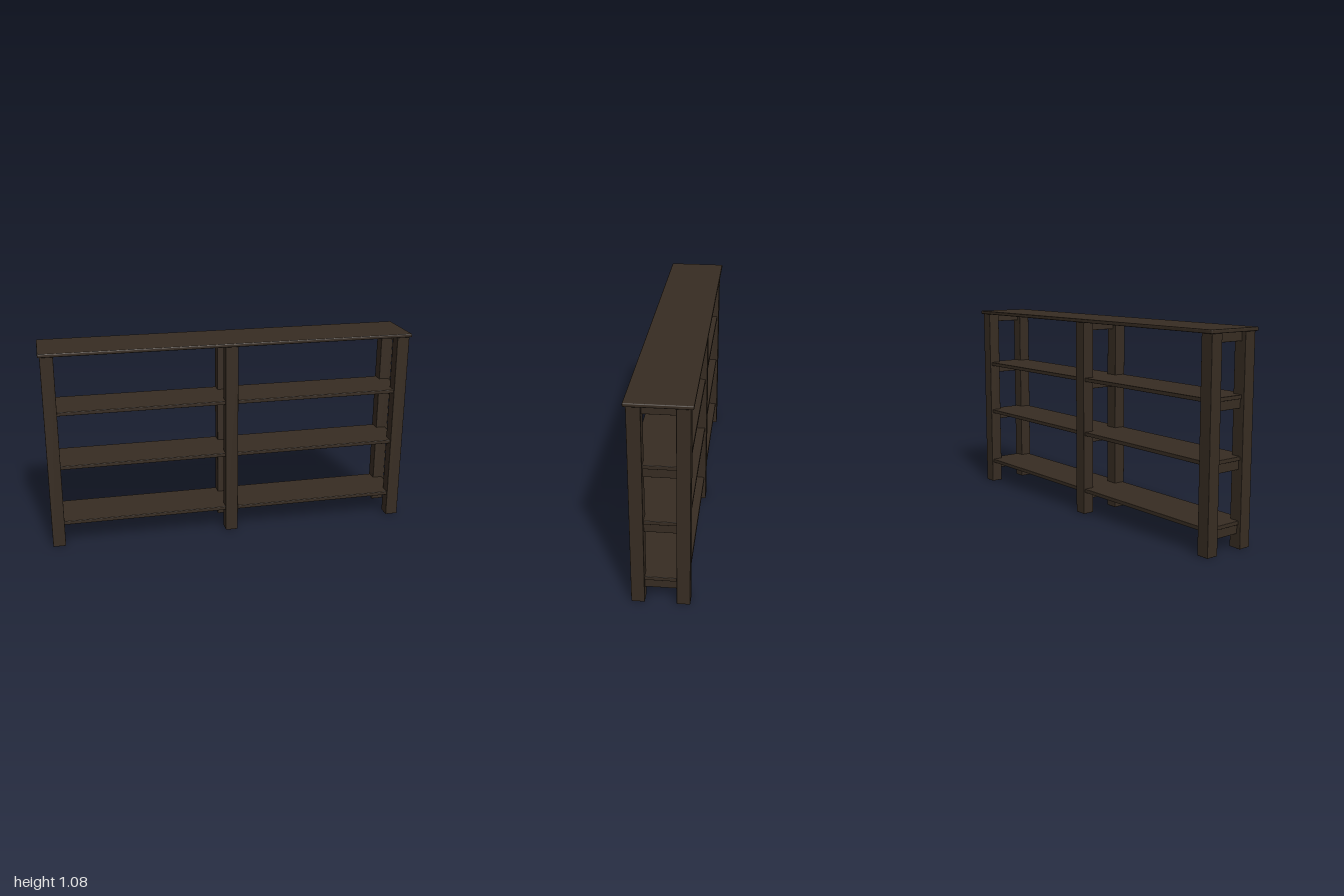
import * as THREE from 'three';
import { RoundedBoxGeometry } from 'three/addons/geometries/RoundedBoxGeometry.js';

export function createModel() {
  const group = new THREE.Group();
  group.name = 'openShelfUnit';
  const darkWood = new THREE.MeshStandardMaterial({ color: 0x372c22 });
  darkWood.name = 'darkWood';

  // Board spanning y0..y1, centred on x and z, with slightly eased edges
  function board(name, w, d, y0, y1, x, z, ease = 0.002) {
    const mesh = new THREE.Mesh(new RoundedBoxGeometry(w, y1 - y0, d, 2, ease), darkWood);
    mesh.name = name;
    mesh.position.set(x, (y0 + y1) / 2, z);
    group.add(mesh);
  }

  // Overhanging top
  board('topBoard', 2, 0.314, 1.06, 1.079, 0, 0, 0.005);

  // Full-length shelves, let into the posts
  const shelfTops = [0.141, 0.461, 0.76];
  for (const top of shelfTops) board('shelf', 1.95, 0.27, top - 0.02, top, 0, 0);

  // Three post frames, each with a cross rail under every board
  const railTops = [...shelfTops.map((top) => top - 0.02), 1.06];
  for (const x of [-0.956, 0, 0.956]) {
    for (const z of [-0.111, 0.111]) board('post', 0.068, 0.066, 0, 1.06, x, z);
    for (const top of railTops) board('crossRail', 0.022, 0.165, top - 0.046, top, x, 0);
  }
  return group;
}
